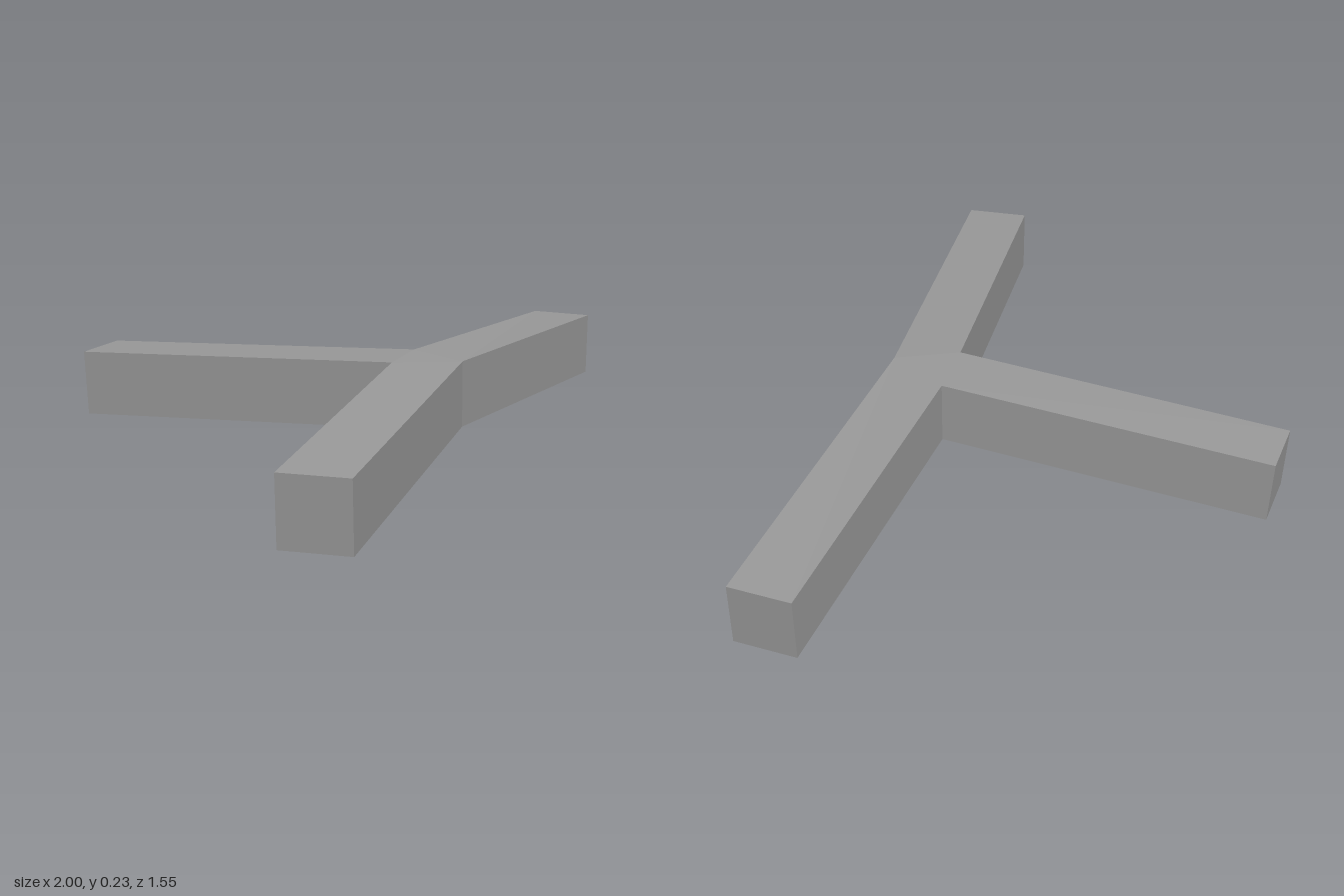
import * as THREE from 'three';

// Plan positions [x, z], counter-clockwise seen from above
const hubPlan = [[0, 0.32], [0.03, 0.12], [-0.14, 0.19]];
const arms = [
  { name: 'leftArm', ends: [[0.996, 0.01], [0.943, -0.16]] },
  { name: 'backArm', ends: [[-0.28, -0.78], [-0.45, -0.724]] },
  { name: 'rightArm', ends: [[-1, 0.613], [-0.92, 0.775]] },
];
const HUB_TOP = 0.233, HUB_BOTTOM = 0.052, END_TOP = 0.182;

// Flat-shaded geometry from convex polygons
function fromPolygons(polygons) {
  const positions = [];
  for (const p of polygons) {
    for (let i = 1; i < p.length - 1; i++) positions.push(...p[0], ...p[i], ...p[i + 1]);
  }
  const geometry = new THREE.BufferGeometry();
  geometry.setAttribute('position', new THREE.Float32BufferAttribute(positions, 3));
  geometry.computeVertexNormals();
  return geometry;
}

const at = ([x, z], y) => [x, y, z];

// Square beam sloping down from one hub edge, its end face square to the slope
function armGeometry(p, q, ends) {
  const tilt = 0.01;
  const dx = (ends[0][0] + ends[1][0] - p[0] - q[0]) / 2;
  const dz = (ends[0][1] + ends[1][1] - p[1] - q[1]) / 2;
  const k = tilt / Math.hypot(dx, dz);
  const feet = ends.map(([x, z]) => [x - dx * k, z - dz * k]);
  const top = [at(p, HUB_TOP), at(ends[0], END_TOP), at(ends[1], END_TOP), at(q, HUB_TOP)];
  const bottom = [at(p, HUB_BOTTOM), at(feet[0], 0), at(feet[1], 0), at(q, HUB_BOTTOM)];
  const faces = [top, [...bottom].reverse()];
  for (let i = 0; i < 3; i++) faces.push([bottom[i], bottom[i + 1], top[i + 1], top[i]]);
  return fromPolygons(faces);
}

export function createModel() {
  const model = new THREE.Group();
  model.name = 'threeArmedBeam';
  const grey = new THREE.MeshStandardMaterial({ color: 0x999999 });
  grey.name = 'grey';

  const add = (name, geometry) => {
    const mesh = new THREE.Mesh(geometry, grey);
    mesh.name = name;
    model.add(mesh);
  };

  // Triangular hub: top and underside
  add('hub', fromPolygons([
    hubPlan.map((p) => at(p, HUB_TOP)),
    hubPlan.map((p) => at(p, HUB_BOTTOM)).reverse(),
  ]));

  // Three arms, one on each hub edge
  arms.forEach(({ name, ends }, i) => {
    add(name, armGeometry(hubPlan[i], hubPlan[(i + 1) % 3], ends));
  });

  return model;
}
